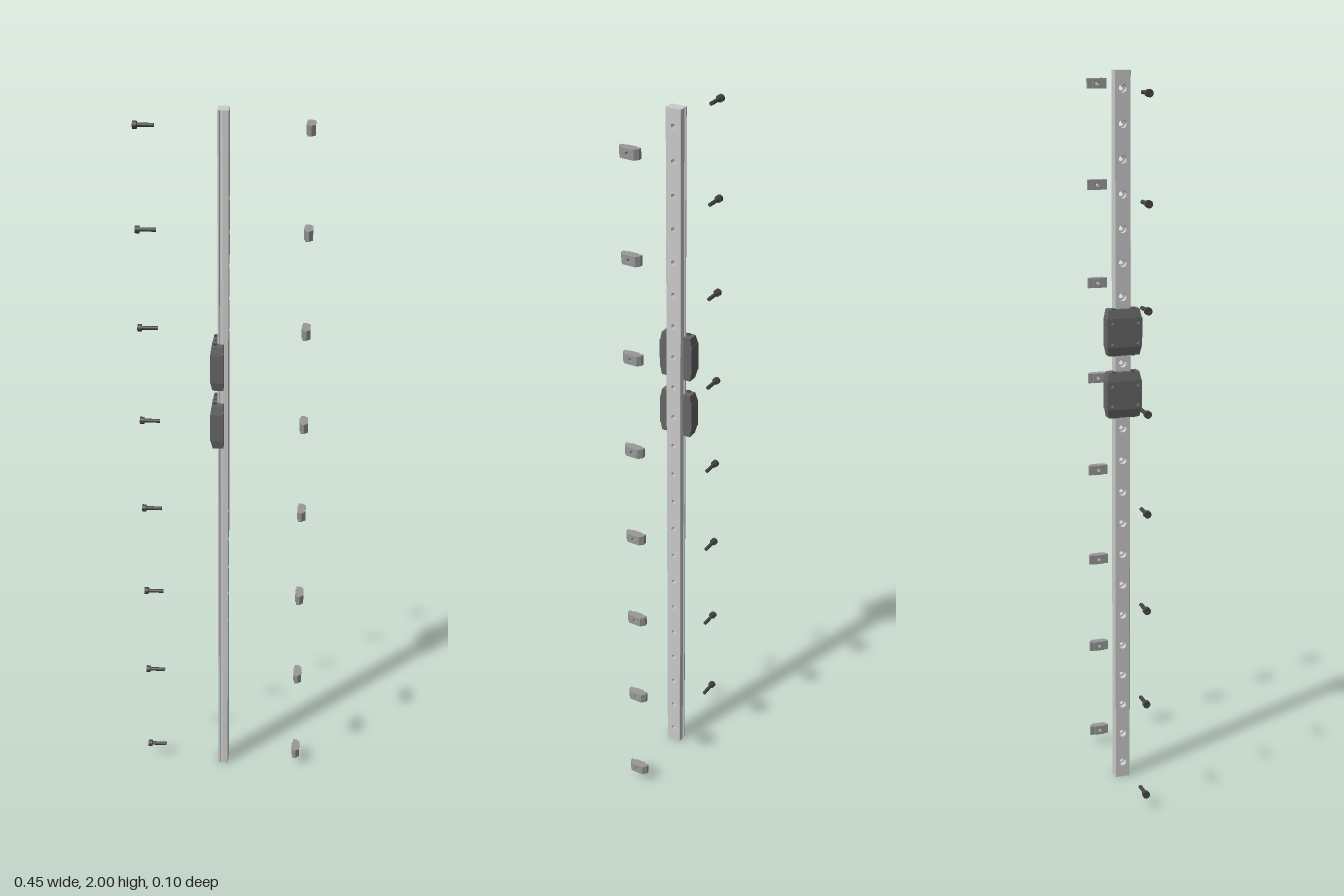
import * as THREE from 'three';

const mat = (color, side = THREE.FrontSide) => new THREE.MeshStandardMaterial({ color, side, roughness: 0.6 });
const steel = mat(0xcccccc);
const steelInside = mat(0xcccccc, THREE.DoubleSide);
const nutGrey = mat(0x999999);
const dark = mat(0x666666);
const black = mat(0x444444);

const HOLES = 22, PITCH = 2 / HOLES;
const holeY = i => (i + 0.5) * PITCH;

function add(parent, name, geometry, material, x = 0, y = 0, z = 0) {
  const m = new THREE.Mesh(geometry, material);
  m.name = name;
  m.position.set(x, y, z);
  parent.add(m);
  return m;
}

function polygon(points) {
  return new THREE.Shape(points.map(p => new THREE.Vector2(p[0], p[1])));
}

// Rectangle in the y-z plane with round holes given as [z, y]
function plate(halfW, y0, y1, holes, r) {
  const s = polygon([[-halfW, y0], [halfW, y0], [halfW, y1], [-halfW, y1]]);
  holes.forEach(([z, y]) => s.holes.push(new THREE.Path().absarc(z, y, r, 0, Math.PI * 2, true)));
  return s;
}

const extrude = (shape, depth) =>
  new THREE.ExtrudeGeometry(shape, { depth, bevelEnabled: false, curveSegments: 12 });
const alongX = (shape, depth) => extrude(shape, depth).rotateY(Math.PI / 2);
const alongY = (shape, depth) => extrude(shape, depth).rotateX(-Math.PI / 2);
const rodX = (r, len, open = false) =>
  new THREE.CylinderGeometry(r, r, len, 20, 1, open).rotateZ(Math.PI / 2);

// Rail: grooved section, counterbored holes all the way up
function makeRail() {
  const rail = new THREE.Group();
  rail.name = 'rail';
  const back = -0.0155, front = 0.0135, seat = 0.0005, w = 0.0218;
  const bore = 0.0109, hole = 0.0064;
  const side = [[front, w - 0.001], [front - 0.001, w], [-0.003, w], [-0.006, 0.018],
    [-0.009, 0.018], [-0.011, w], [back + 0.001, w], [back, w - 0.001]];

  // long grooved flanks, one quad per section edge, mirrored
  const pos = [];
  for (const s of [1, -1]) {
    for (let i = 0; i < side.length - 1; i++) {
      const [a, b] = s > 0 ? [side[i], side[i + 1]] : [side[i + 1], side[i]];
      const q = [[a, 0], [a, 2], [b, 2], [a, 0], [b, 2], [b, 0]];
      q.forEach(([p, y]) => pos.push(p[0], y, s * p[1]));
    }
  }
  const flanks = new THREE.BufferGeometry();
  flanks.setAttribute('position', new THREE.Float32BufferAttribute(pos, 3));
  flanks.computeVertexNormals();
  add(rail, 'railFlanks', flanks, steelInside);

  // end faces
  const section = polygon([...side, ...side.map(([x, z]) => [x, -z]).reverse()]);
  const end = new THREE.ShapeGeometry(section);
  add(rail, 'railTopEnd', end.clone().rotateX(-Math.PI / 2), steel, 0, 2);
  add(rail, 'railBottomEnd', end.clone().rotateX(Math.PI / 2), steel);

  // perforated broad faces
  const spots = Array.from({ length: HOLES }, (_, i) => [0, holeY(i)]);
  const face = r => new THREE.ShapeGeometry(plate(w - 0.001, 0, 2, spots, r), 10);
  add(rail, 'railMountFace', face(hole).rotateY(Math.PI / 2), steel, front);
  add(rail, 'railScrewFace', face(bore).rotateY(-Math.PI / 2), steel, back);

  // hole walls and seats
  const boreWall = rodX(bore, seat - back, true);
  const holeWall = rodX(hole, front - seat, true);
  const ledge = new THREE.RingGeometry(hole, bore, 20).rotateY(-Math.PI / 2);
  for (const [, y] of spots) {
    add(rail, 'counterboreWall', boreWall, steelInside, (back + seat) / 2, y);
    add(rail, 'holeWall', holeWall, steelInside, (front + seat) / 2, y);
    add(rail, 'screwSeat', ledge, steelInside, seat, y);
  }
  return rail;
}

// U-shaped section that straddles the rail
function saddle(top, bottom, halfW, gap, gapTop) {
  return polygon([[top, -halfW], [bottom, -halfW], [bottom, -gap], [gapTop, -gap],
    [gapTop, gap], [bottom, gap], [bottom, halfW], [top, halfW]]);
}

function makeCarriage(y) {
  const g = new THREE.Group();
  g.name = 'carriage';
  g.position.y = y;
  const half = 0.0395, cap = 0.0235, top = -0.034, plateDepth = 0.0125;

  // metal block: drilled mounting plate over a saddle
  const spots = [];
  for (const z of [-0.0364, 0.0364]) for (const yy of [-0.0273, 0.0273]) spots.push([z, yy]);
  add(g, 'mountingPlate', alongX(plate(0.049, -half, half, spots, 0.0055), plateDepth), dark, top);
  add(g, 'saddleBlock', alongY(saddle(top + plateDepth, 0.002, 0.049, 0.0235, -0.0165), 2 * half), dark, 0, -half);

  for (const s of [1, -1]) {
    // end cap, tapering toward its outer face
    const geo = alongY(saddle(-0.033, 0.001, 0.048, 0.0235, -0.0165), cap);
    const p = geo.attributes.position;
    for (let i = 0; i < p.count; i++) {
      if (p.getY(i) < cap / 2) continue;
      if (Math.abs(p.getZ(i)) > 0.03) p.setZ(i, p.getZ(i) * 0.9);
      if (p.getX(i) < -0.03) p.setX(i, -0.028);
    }
    geo.computeVertexNormals();
    const endCap = new THREE.Group();
    endCap.name = 'endCap';
    add(endCap, 'capBody', geo, dark);
    // cap screws with hex sockets and a central grease port
    const hex = new THREE.Path(Array.from({ length: 6 }, (_, i) =>
      new THREE.Vector2(Math.cos(-i * Math.PI / 3), Math.sin(-i * Math.PI / 3)).multiplyScalar(0.003)));
    const ring = new THREE.Shape().absarc(0, 0, 0.0055, 0, Math.PI * 2);
    ring.holes.push(hex);
    for (const z of [-0.027, 0.027]) add(endCap, 'capScrew', alongY(ring, 0.0015), black, -0.0222, cap, z);
    add(endCap, 'greasePort', new THREE.CylinderGeometry(0.003, 0.003, 0.001, 16), black, -0.0225, cap, 0);
    endCap.position.y = s * half;
    if (s < 0) endCap.rotation.x = Math.PI;
    g.add(endCap);
  }
  return g;
}

// Socket-head screw pointing toward the rail
function makeScrew(y) {
  const g = new THREE.Group();
  g.name = 'screw';
  g.position.set(-0.228, y, 0);
  const rim = new THREE.Shape().absarc(0, 0, 0.01, 0, Math.PI * 2);
  rim.holes.push(new THREE.Path(Array.from({ length: 6 }, (_, i) =>
    new THREE.Vector2(Math.cos(-i * Math.PI / 3), Math.sin(-i * Math.PI / 3)).multiplyScalar(0.0052))));
  add(g, 'headRim', alongX(rim, 0.006), black);
  add(g, 'headBase', rodX(0.01, 0.005), black, 0.0085);
  add(g, 'shank', rodX(0.0053, 0.043), black, 0.0325);
  return g;
}

// Slot nut: raised tab, wide body with chamfered far side, drilled through
function makeNut(y) {
  const g = new THREE.Group();
  g.name = 'slotNut';
  g.position.set(0.204, y, 0);
  const h = 0.0135, slab = w => plate(w, -h, h, [[0, 0]], 0.0053);
  add(g, 'nutTab', alongX(slab(0.014), 0.003), nutGrey);
  add(g, 'nutBody', alongX(slab(0.0275), 0.0095), nutGrey, 0.003);
  const wedge = alongX(slab(0.0275), 0.0105);
  const p = wedge.attributes.position;
  for (let i = 0; i < p.count; i++) {
    if (p.getX(i) > 0.005 && Math.abs(p.getZ(i)) > 0.02) p.setZ(i, Math.sign(p.getZ(i)) * 0.018);
  }
  wedge.computeVertexNormals();
  add(g, 'nutChamfer', wedge, nutGrey, 0.0125);
  return g;
}

export function createModel() {
  const model = new THREE.Group();
  model.name = 'linearRailAssembly';
  model.add(makeRail(), makeCarriage(1.315), makeCarriage(1.143));
  // a screw and nut at every third hole
  for (let i = 0; i < HOLES; i += 3) model.add(makeScrew(holeY(i)), makeNut(holeY(i)));
  return model;
}
